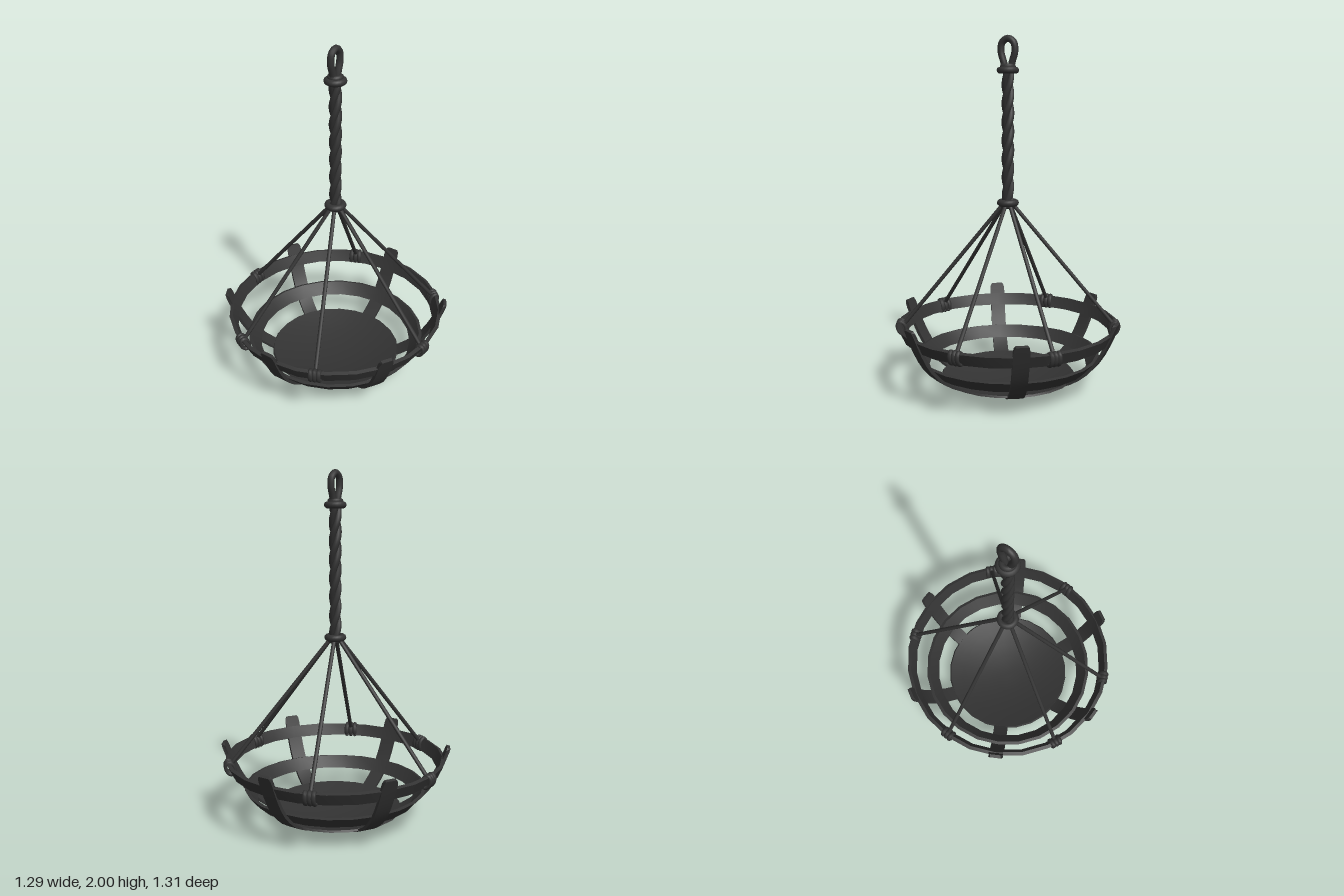
import * as THREE from 'three';
import { toCreasedNormals } from 'three/addons/utils/BufferGeometryUtils.js';

const material = new THREE.MeshStandardMaterial({ color: 0x333333, side: THREE.DoubleSide });

export function createModel() {
  const root = new THREE.Group();
  const add = (name, geometry, parent = root) => {
    const mesh = new THREE.Mesh(geometry, material);
    mesh.name = name;
    parent.add(mesh);
    return mesh;
  };
  const v2 = ([x, y]) => new THREE.Vector2(x, y);
  // closed cross-section spun around the vertical axis
  const lathe = (points) =>
    toCreasedNormals(new THREE.LatheGeometry([...points, points[0]].map(v2), 24), 0.7);

  // shallow dished base
  add('basePlate', lathe([
    [0, 0], [0.12, 0.006], [0.22, 0.023], [0.31, 0.047], [0.385, 0.075],
    [0.377, 0.085], [0.3, 0.058], [0.21, 0.035], [0.12, 0.019], [0, 0.013],
  ]));

  // flared hoops
  add('middleHoop', lathe([[0.47, 0.143], [0.525, 0.207], [0.507, 0.212], [0.452, 0.148]]));
  add('rimHoop', lathe([[0.602, 0.32], [0.632, 0.385], [0.612, 0.392], [0.582, 0.325]]));

  // six curved staves, rounded at the upper end
  const outer = [
    [0.28, 0.032], [0.34, 0.053], [0.4, 0.081], [0.45, 0.112], [0.495, 0.15], [0.54, 0.2],
    [0.572, 0.25], [0.6, 0.305], [0.624, 0.36], [0.643, 0.41], [0.652, 0.433], [0.657, 0.447],
  ];
  const inner = outer.map(([r, y]) => [r - 0.018, y + 0.006]).reverse();
  const staveGeometry = new THREE.ExtrudeGeometry(
    new THREE.Shape([...outer, ...inner].map(v2)), { depth: 0.088, bevelEnabled: false });
  staveGeometry.translate(0, 0, -0.044);
  const pos = staveGeometry.attributes.position;
  for (let i = 0; i < pos.count; i++) {
    const y = pos.getY(i);
    if (y > 0.442) pos.setZ(i, pos.getZ(i) * 0.72);
    else if (y > 0.428) pos.setZ(i, pos.getZ(i) * 0.93);
  }
  const staveShape = toCreasedNormals(staveGeometry, 0.6);
  for (let i = 0; i < 6; i++) {
    add('stave', staveShape).rotation.y = Math.PI / 6 + (i * Math.PI) / 3;
  }

  // suspension cords, each lashed to the rim with three coils
  const anchors = [[-0.61, -0.003], [-0.23, -0.57], [0.42, -0.445], [0.61, 0.025], [0.25, 0.55], [-0.255, 0.55]];
  const coil = new THREE.TorusGeometry(0.034, 0.012, 8, 18);
  anchors.forEach(([x, z]) => {
    const angle = Math.atan2(-z, x);
    const cord = new THREE.LineCurve3(
      new THREE.Vector3(x * 0.03, 1.08, z * 0.03), new THREE.Vector3(x * 0.985, 0.375, z * 0.985));
    add('cord', new THREE.TubeGeometry(cord, 1, 0.0115, 8));
    const lashing = new THREE.Group();
    lashing.name = 'lashing';
    lashing.position.set(Math.cos(angle) * 0.608, 0.357, -Math.sin(angle) * 0.608);
    lashing.rotation.y = angle;
    [-1, 0, 1].forEach((k) => {
      const ring = add('lashingCoil', coil, lashing);
      ring.position.z = k * 0.024;
      ring.scale.set(0.72, 1.02, 1.1);
      ring.rotation.set(0, k * 0.1, -0.35);
    });
    root.add(lashing);
  });

  // three-strand twisted main rope
  for (let s = 0; s < 3; s++) {
    const points = [];
    for (let i = 0; i <= 48; i++) {
      const t = i / 48;
      const a = (t * 2.4 + s / 3) * Math.PI * 2;
      points.push(new THREE.Vector3(Math.cos(a) * 0.017, 1.07 + t * 0.74, -Math.sin(a) * 0.017));
    }
    add('ropeStrand', new THREE.TubeGeometry(new THREE.CatmullRomCurve3(points), 96, 0.0185, 8));
  }

  // binding rings at both ends of the rope
  [[1.078, 0.043, 0.019], [1.062, 0.028, 0.016], [1.81, 0.043, 0.019], [1.83, 0.028, 0.016]].forEach(([y, r, t]) => {
    const ring = add('bindingRing', new THREE.TorusGeometry(r, t, 10, 24));
    ring.position.y = y;
    ring.rotation.x = Math.PI / 2;
  });

  // hanging eye
  const eye = [[0.014, 1.8], [0.024, 1.85], [0.041, 1.91], [0.034, 1.96], [0, 1.981]];
  const eyePath = [...eye, ...eye.slice(0, -1).reverse().map(([z, y]) => [-z, y])];
  add('hangingEye', new THREE.TubeGeometry(
    new THREE.CatmullRomCurve3(eyePath.map(([z, y]) => new THREE.Vector3(0, y, z))), 40, 0.019, 10));

  return root;
}
